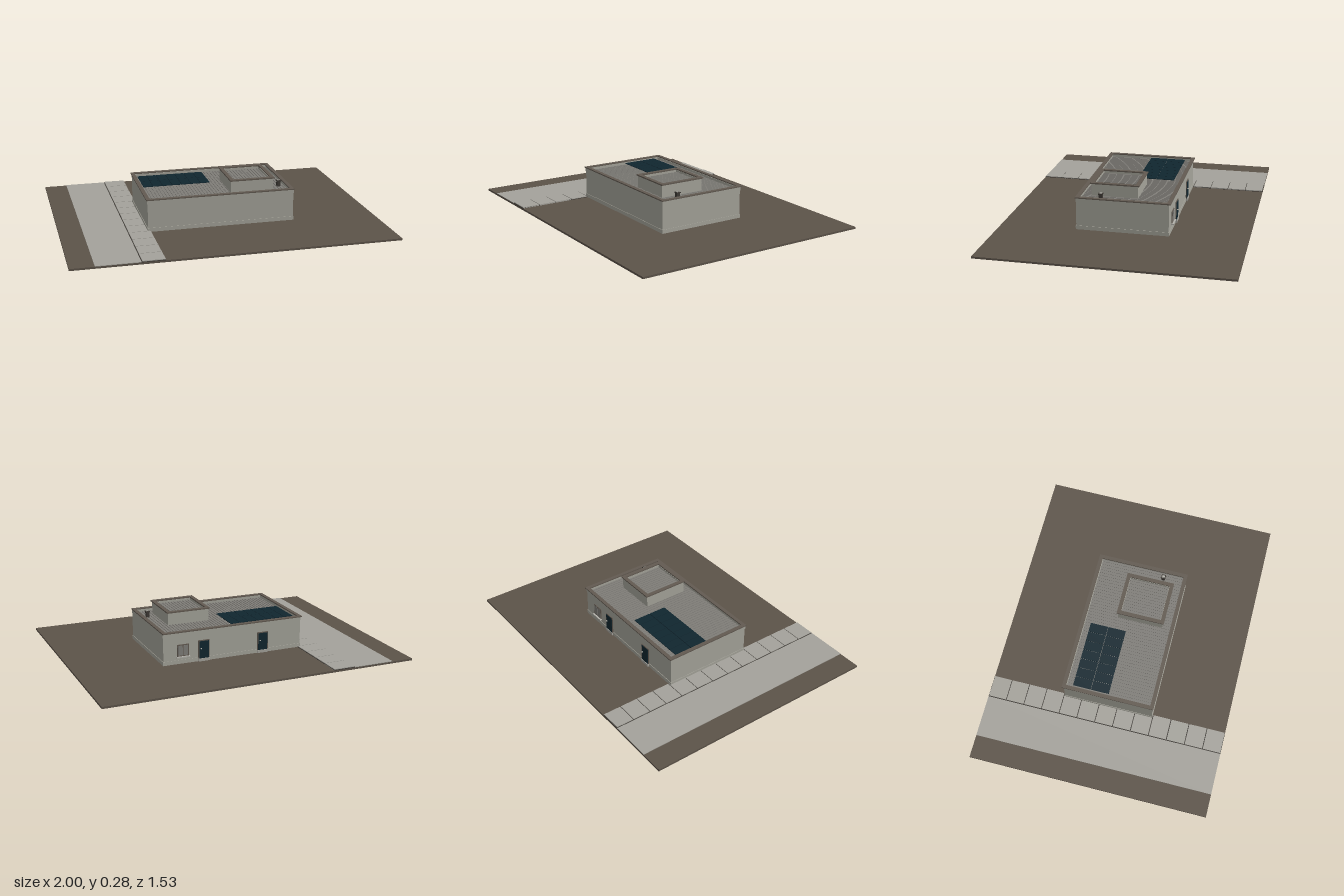
import * as THREE from 'three';

const mat = (name, color) => {
  const m = new THREE.MeshStandardMaterial({ color });
  m.name = name;
  return m;
};

export function createModel() {
  const model = new THREE.Group();
  model.name = 'flatRoofHouse';
  const soil = mat('soil brown', 0x5c5349);
  const paving = mat('paving grey', 0xa4a29b);
  const wall = mat('wall grey', 0xa4a399);
  const coping = mat('coping brown grey', 0x625a51);
  const roofing = mat('roofing grey', 0x7f7d78);
  const navy = mat('panel navy', 0x10262f);
  const metal = mat('pale metal', 0xb4b3ac);
  const dark = mat('dark trim', 0x3d3934);

  // Box given by its minimum and maximum corners
  const box = (name, m, x0, x1, y0, y1, z0, z1, parent = model) => {
    const mesh = new THREE.Mesh(new THREE.BoxGeometry(x1 - x0, y1 - y0, z1 - z0), m);
    mesh.position.set((x0 + x1) / 2, (y0 + y1) / 2, (z0 + z1) / 2);
    mesh.name = name;
    parent.add(mesh);
    return mesh;
  };

  // Rectangular ring with an open middle, t wide
  const ring = (name, m, x0, x1, y0, y1, z0, z1, t) => {
    const rect = (P, a, b, c, d) => {
      const p = new P();
      p.moveTo(a, c); p.lineTo(b, c); p.lineTo(b, d); p.lineTo(a, d); p.closePath();
      return p;
    };
    const s = rect(THREE.Shape, x0, x1, -z1, -z0);
    s.holes.push(rect(THREE.Path, x0 + t, x1 - t, -z1 + t, -z0 - t));
    const g = new THREE.ExtrudeGeometry(s, { depth: y1 - y0, bevelEnabled: false });
    g.rotateX(-Math.PI / 2);
    const mesh = new THREE.Mesh(g, m);
    mesh.position.y = y0;
    mesh.name = name;
    model.add(mesh);
  };

  // Roof deck with ribs running front to back
  const ribbedRoof = (name, x0, x1, y, z0, z1, pitch) => {
    const g = new THREE.Group();
    g.name = name;
    model.add(g);
    box('roofDeck', roofing, x0, x1, y - 0.01, y, z0, z1, g);
    const n = Math.round((x1 - x0) / pitch);
    for (let i = 0; i < n; i++) {
      const x = x0 + (i + 0.5) * (x1 - x0) / n;
      box('roofRib', roofing, x - pitch / 4, x + pitch / 4, y, y + 0.003, z0, z1, g);
    }
  };

  // Plot, road and sidewalk slabs
  box('ground', soil, -1, 1, 0, 0.012, -0.765, 0.765);
  box('road', paving, -0.855, -0.59, 0.012, 0.0155, -0.765, 0.765);
  box('sidewalkBed', dark, -0.59, -0.45, 0.012, 0.0155, -0.765, 0.765);
  const slabs = 13, step = 1.53 / slabs;
  for (let i = 0; i < slabs; i++) {
    const z = -0.765 + i * step;
    box('sidewalkSlab', paving, -0.585, -0.45, 0.012, 0.02, z + 0.0025, z + step - 0.0025);
  }

  // House body, hollow above the roof deck
  box('plinth', wall, -0.468, 0.468, 0.012, 0.036, -0.289, 0.291);
  ring('walls', wall, -0.465, 0.465, 0.036, 0.19, -0.286, 0.288, 0.02);
  ring('parapet', wall, -0.468, 0.468, 0.19, 0.212, -0.288, 0.29, 0.018);
  ring('parapetCoping', coping, -0.473, 0.47, 0.212, 0.219, -0.297, 0.294, 0.024);
  ribbedRoof('mainRoof', -0.45, 0.45, 0.194, -0.27, 0.272, 0.02);

  // Roof room
  ring('roofRoomWalls', wall, 0.078, 0.352, 0.19, 0.273, -0.074, 0.218, 0.018);
  ring('roofRoomCoping', coping, 0.072, 0.36, 0.273, 0.281, -0.082, 0.226, 0.024);
  ribbedRoof('roofRoomRoof', 0.096, 0.334, 0.258, -0.056, 0.2, 0.02);

  // Solar panels, seven by two
  const array = new THREE.Group();
  array.name = 'solarArray';
  model.add(array);
  for (let i = 0; i < 7; i++) {
    for (let j = 0; j < 2; j++) {
      const x = -0.437 + i * 0.0618, z = -0.232 + j * 0.117;
      box('solarPanel', navy, x, x + 0.0595, 0.205, 0.209, z, z + 0.114, array);
    }
  }
  for (const z of [-0.2, -0.145, -0.09, -0.03]) {
    box('panelRail', metal, -0.437, -0.007, 0.196, 0.205, z - 0.003, z + 0.003, array);
  }

  // Vent pipe on the roof
  box('ventShaft', dark, 0.4, 0.422, 0.19, 0.23, 0.134, 0.156);
  box('ventCap', dark, 0.397, 0.425, 0.23, 0.236, 0.131, 0.159);
  box('ventTop', metal, 0.403, 0.419, 0.236, 0.237, 0.137, 0.153);

  // Rear doors with frames, steps and handles
  for (const x of [-0.2, 0.2]) {
    box('doorFrame', coping, x - 0.037, x + 0.037, 0.03, 0.146, -0.291, -0.284);
    box('door', navy, x - 0.031, x + 0.031, 0.03, 0.14, -0.293, -0.286);
    box('doorHandle', metal, x + 0.018, x + 0.024, 0.092, 0.097, -0.303, -0.292);
    box('doorStep', paving, x - 0.037, x + 0.037, 0.012, 0.03, -0.297, -0.286);
  }

  // Rear window with sill
  box('windowFrame', coping, 0.3, 0.376, 0.06, 0.135, -0.291, -0.284);
  for (const x of [0.306, 0.341]) {
    box('windowPane', roofing, x, x + 0.029, 0.066, 0.129, -0.293, -0.286);
  }
  box('windowSill', metal, 0.294, 0.382, 0.053, 0.06, -0.302, -0.284);

  return model;
}
